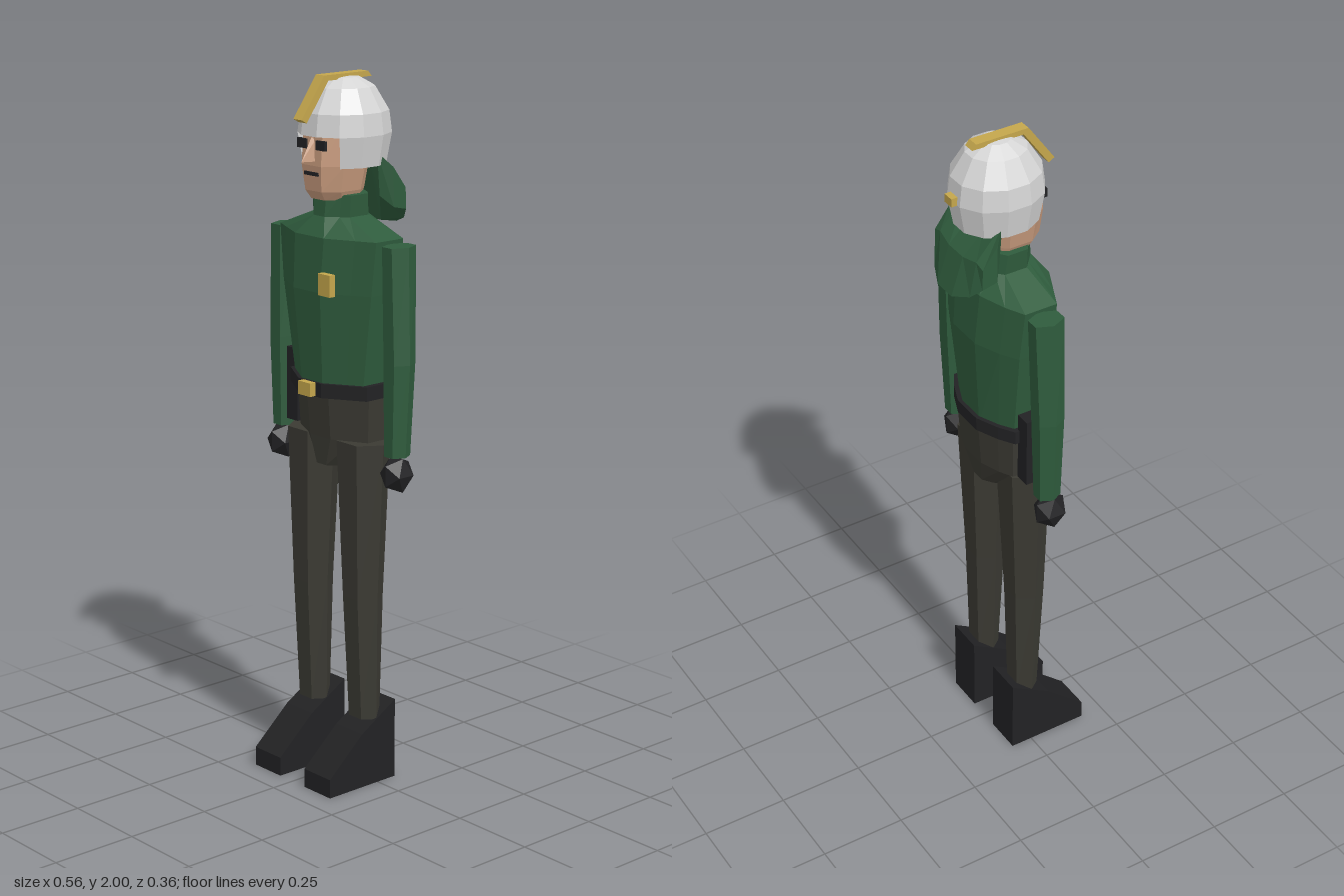
import * as THREE from 'three';

const mat = (name, color, side = THREE.FrontSide) => {
  const m = new THREE.MeshStandardMaterial({ color, side });
  m.name = name;
  return m;
};

// Joins cross-sections (arrays of [x, y, z]) into a faceted solid
function loft(sections, { caps = true, skip = () => false } = {}) {
  const pos = [];
  const tri = (a, b, c) => pos.push(...a, ...b, ...c);
  const n = sections[0].length;
  for (let s = 0; s < sections.length - 1; s++) {
    const lo = sections[s], hi = sections[s + 1];
    for (let i = 0; i < n; i++) {
      if (skip(s, i)) continue;
      const j = (i + 1) % n;
      tri(lo[i], lo[j], hi[j]);
      tri(lo[i], hi[j], hi[i]);
    }
  }
  if (caps) {
    const first = sections[0], last = sections[sections.length - 1];
    for (let i = 1; i < n - 1; i++) {
      tri(first[0], first[i + 1], first[i]);
      tri(last[0], last[i], last[i + 1]);
    }
  }
  const g = new THREE.BufferGeometry();
  g.setAttribute('position', new THREE.Float32BufferAttribute(pos, 3));
  g.computeVertexNormals();
  return g;
}

// Mirrors a half outline (front to back) into a full unit outline of [x, z]
const outline = half => [...half, ...half.map(([x, z]) => [-x, z]).reverse()];
const BODY = outline([[0.3, 1], [0.72, 0.64], [1, 0.4], [1, -0.5], [0.72, -0.75], [0.3, -1]]);
const HEAD = outline([[0.5, 1], [1, 0.45], [1, -0.45], [0.5, -1]]);
const ngon = (n, start) => Array.from({ length: n }, (_, i) => {
  const a = start + i * Math.PI * 2 / n;
  return [Math.sin(a), Math.cos(a)];
});
const HEX = ngon(6, Math.PI / 6);

// Ring rows: [y, half width, front z, back z, centre x]
const rings = (shape, rows) => rows.map(([y, rx, f, b, cx = 0]) =>
  shape.map(([x, z]) => [cx + x * rx, y, (f + b) / 2 + z * (f - b) / 2]));

// Side profile of [z, y] points extruded across x
function profile(points, width) {
  const shape = new THREE.Shape(points.map(p => new THREE.Vector2(...p)));
  const g = new THREE.ExtrudeGeometry(shape, { depth: width, bevelEnabled: false });
  return g.translate(0, 0, -width / 2).rotateY(-Math.PI / 2);
}

export function createModel() {
  const green = mat('jacket green', 0x2f5c3d);
  const trousers = mat('trouser brown', 0x3b3a33);
  const black = mat('leather black', 0x222224);
  const skin = mat('skin', 0xc99c7e);
  const gold = mat('gold', 0xc4a64c);
  const white = mat('helmet white', 0xd4d4d4, THREE.DoubleSide);

  const group = new THREE.Group();
  const add = (name, geometry, material, x = 0, y = 0, z = 0) => {
    const m = new THREE.Mesh(geometry, material);
    m.name = name;
    m.position.set(x, y, z);
    group.add(m);
    return m;
  };
  const box = (name, material, w, h, d, x, y, z) =>
    add(name, new THREE.BoxGeometry(w, h, d), material, x, y, z);

  // Jacket with sloping shoulders and collar
  add('jacket', loft(rings(BODY, [
    [1.14, 0.14, 0.1, -0.1], [1.42, 0.182, 0.12, -0.12], [1.57, 0.198, 0.11, -0.107],
    [1.62, 0.075, 0.075, -0.075], [1.68, 0.08, 0.07, -0.065],
  ])), green);

  // Lowered hood, lofted across the back of the neck
  const hoodHalf = [
    [0.035, [-0.08, 1.75], [-0.12, 1.59], [-0.178, 1.58], [-0.142, 1.69]],
    [0.09, [-0.055, 1.79], [-0.065, 1.67], [-0.155, 1.6], [-0.135, 1.7]],
    [0.12, [-0.088, 1.75], [-0.09, 1.64], [-0.135, 1.63], [-0.133, 1.69]],
  ];
  const hoodSection = sign => ([x, ...pts]) => pts.map(([z, y]) => [sign * x, y, z]);
  add('hood', loft([
    ...[...hoodHalf].reverse().map(hoodSection(-1)), ...hoodHalf.map(hoodSection(1)),
  ]), green);

  // Belt, buckle, badge and holster
  add('belt', loft(rings(BODY, [[1.125, 0.16, 0.11, -0.113], [1.165, 0.16, 0.11, -0.113]])), black);
  box('buckle', gold, 0.05, 0.038, 0.025, 0, 1.146, 0.118);
  box('badge', gold, 0.048, 0.06, 0.02, 0.09, 1.45, 0.127);
  box('holster', black, 0.045, 0.21, 0.07, -0.175, 1.11, -0.01);

  // Hips
  add('hips', loft(rings(BODY, [
    [0.92, 0.065, 0.068, -0.08], [1.0, 0.142, 0.072, -0.095], [1.13, 0.15, 0.082, -0.105],
  ])), trousers);

  // Limbs, mirrored
  const boot = [[-0.065, 0], [0.18, 0], [0.18, 0.055], [0.06, 0.16], [-0.065, 0.235]];
  for (const [side, s] of [['left', 1], ['right', -1]]) {
    add(side + 'Leg', loft(rings(HEX, [
      [0.19, 0.052, 0.042, -0.038, s * 0.107], [0.55, 0.061, 0.062, -0.048, s * 0.106],
      [1.0, 0.083, 0.076, -0.068, s * 0.103],
    ])), trousers);
    add(side + 'Boot', profile(boot, 0.11), black, s * 0.108);
    add(side + 'Arm', loft(rings(HEX, [
      [0.98, 0.034, 0.036, -0.04, s * 0.234], [1.24, 0.042, 0.04, -0.05, s * 0.238],
      [1.56, 0.038, 0.043, -0.06, s * 0.23],
    ])), green);
    add(side + 'Hand', new THREE.IcosahedronGeometry(1, 0).scale(0.046, 0.056, 0.05),
      black, s * 0.24, 0.93, 0.004);
    box(side + 'Eye', black, 0.036, 0.026, 0.009, s * 0.038, 1.817, 0.099);
  }

  // Head and face
  add('head', loft(rings(HEAD, [
    [1.665, 0.055, 0.078, -0.055], [1.69, 0.066, 0.095, -0.06],
    [1.76, 0.079, 0.102, -0.07], [1.88, 0.079, 0.094, -0.07],
  ])), skin);
  add('nose', loft([
    [[0, 1.772, 0.137], [0.018, 1.772, 0.09], [-0.018, 1.772, 0.09]],
    [[0, 1.835, 0.102], [0.009, 1.835, 0.09], [-0.009, 1.835, 0.09]],
  ]), skin);
  box('mouth', black, 0.056, 0.01, 0.009, 0, 1.738, 0.099);

  // Helmet shell, open at the three front columns of the lowest row
  const helmetRows = [
    [1.755, 0.88], [1.84, 1], [1.9, 0.94], [1.965, 0.64], [1.99, 0.3], [1.994, 0.01],
  ].map(([y, k]) => [y, 0.122 * k, -0.018 + 0.134 * k, -0.018 - 0.134 * k]);
  add('helmet', loft(rings(ngon(12, -Math.PI / 4), helmetRows), {
    caps: false, skip: (row, col) => row === 0 && col < 3,
  }), white);

  // Gold crest bent down over the brow, and rear clip
  add('crest', profile([
    [-0.1, 1.985], [0.055, 1.985], [0.132, 1.878], [0.15, 1.888], [0.07, 2], [-0.088, 2],
  ], 0.034), gold);
  box('rearClip', gold, 0.034, 0.024, 0.025, 0, 1.85, -0.151);

  return group;
}
